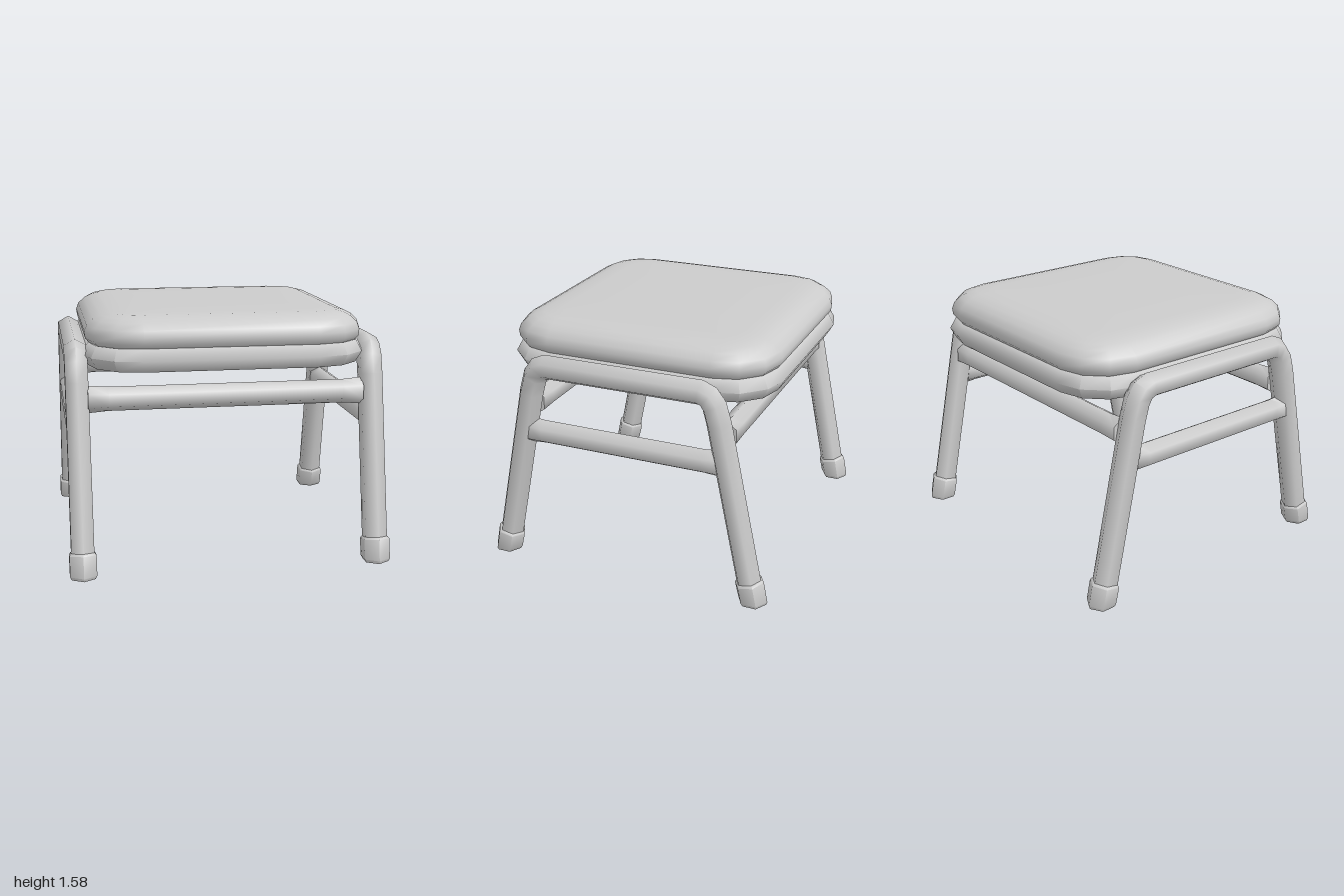
import * as THREE from 'three';
import { toCreasedNormals } from 'three/addons/utils/BufferGeometryUtils.js';

const V = (x, y, z) => new THREE.Vector3(x, y, z);
const X = V(1, 0, 0), Z = V(0, 0, 1);
const material = new THREE.MeshStandardMaterial({ color: 0xcccccc });

// Skin a list of equal-length point rings (counter-clockwise about the travel direction)
function loft(name, rings, capped = true) {
  const n = rings[0].length, pos = [], index = [];
  rings.forEach(r => r.forEach(p => pos.push(p.x, p.y, p.z)));
  for (let i = 0; i < rings.length - 1; i++) {
    for (let j = 0; j < n; j++) {
      const a = i * n + j, b = i * n + (j + 1) % n;
      index.push(a, b, b + n, a, b + n, a + n);
    }
  }
  if (capped) {
    [0, rings.length - 1].forEach((r, end) => {
      const c = V(0, 0, 0);
      rings[r].forEach(p => c.addScaledVector(p, 1 / n));
      const ci = pos.length / 3;
      pos.push(c.x, c.y, c.z);
      for (let j = 0; j < n; j++) {
        const a = r * n + j, b = r * n + (j + 1) % n;
        if (end) index.push(ci, a, b); else index.push(ci, b, a);
      }
    });
  }
  const g = new THREE.BufferGeometry();
  g.setAttribute('position', new THREE.Float32BufferAttribute(pos, 3));
  g.setIndex(index);
  const mesh = new THREE.Mesh(toCreasedNormals(g, 1.1), material);
  mesh.name = name;
  return mesh;
}

// Six-sided tube section; corners point along side x dir
function hex(center, dir, side, r, rSide = r) {
  const up = side.clone().cross(dir).normalize();
  return Array.from({ length: 6 }, (_, k) => {
    const a = k * Math.PI / 3;
    return center.clone().addScaledVector(up, r * Math.cos(a)).addScaledVector(side, rSide * Math.sin(a));
  });
}

// Rounded-square outline at height y, three segments per corner
function outline(half, y) {
  const core = Math.min(0.53, half * 0.8), r = half - core, pts = [];
  for (let q = 0; q < 4; q++) {
    const m = (q + 0.5) * Math.PI / 2;
    const cx = Math.sign(Math.cos(m)) * core, cz = Math.sign(Math.sin(m)) * core;
    for (let k = 0; k <= 3; k++) {
      const a = (q + k / 3) * Math.PI / 2;
      pts.push(V(cx + r * Math.cos(a), y, -(cz + r * Math.sin(a))));
    }
  }
  return pts;
}

export function createModel() {
  const group = new THREE.Group();

  // Padded cushion with a slight crown
  const cushion = [[0.8, 1.37], [0.83, 1.382], [0.855, 1.41], [0.86, 1.45], [0.845, 1.49],
    [0.805, 1.528], [0.76, 1.55], [0.7, 1.565], [0.6, 1.57], [0.3, 1.575]];
  group.add(loft('cushion', cushion.map(([h, y]) => outline(h, y))));

  // Tubular ring under the cushion
  const seatRing = [];
  for (let k = 0; k <= 6; k++) {
    const a = (k % 6) * Math.PI / 3;
    seatRing.push(outline(0.8 + 0.08 * Math.cos(a), 1.315 + 0.08 * Math.sin(a)));
  }
  group.add(loft('seatRing', seatRing, false));

  // Bent side frames: two splayed legs joined across the top, as [y, z]
  const bend = [[0.1, 0.83], [1.15, 0.615], [1.255, 0.585], [1.305, 0.55], [1.325, 0.5]];
  const path = [...bend, ...bend.slice().reverse().map(([y, z]) => [y, -z])];
  for (const s of [1, -1]) {
    const sideName = s > 0 ? 'left' : 'right', x = s * 0.918;
    const pts = path.map(([y, z]) => V(x, y, z));
    group.add(loft(sideName + 'Frame', pts.map((p, i) => {
      const before = pts[Math.max(i - 1, 0)], after = pts[Math.min(i + 1, pts.length - 1)];
      const dir = p.clone().sub(before).normalize().add(after.clone().sub(p).normalize()).normalize();
      return hex(p, dir, X, 0.08);
    })));

    // Foot caps, flat on the floor and square to the leg at the top
    for (const f of [1, -1]) {
      const up = V(0, 1, 0), lean = V(0, 1, -0.2 * f);
      group.add(loft(sideName + (f > 0 ? 'Front' : 'Back') + 'Foot', [
        hex(V(x, 0, f * 0.853), up, X, 0.083),
        hex(V(x, 0.02, f * 0.85), up, X, 0.094),
        hex(V(x, 0.133, f * 0.826), lean, X, 0.094),
        hex(V(x, 0.147, f * 0.823), lean, X, 0.084),
      ]));
    }

    // Side rail with flared, slanted ends
    group.add(loft(sideName + 'Rail', [
      hex(V(x, 0.893, -0.62), V(0, -0.17, 1), X, 0.086, 0.07),
      hex(V(x, 0.893, -0.53), Z, X, 0.077),
      hex(V(x, 0.893, 0.53), Z, X, 0.077),
      hex(V(x, 0.893, 0.62), V(0, 0.17, 1), X, 0.086, 0.07),
    ]));

    // Front and back cross rails with flared ends
    const cross = [[-0.855, 0.085], [-0.73, 0.075], [0.73, 0.075], [0.855, 0.085]];
    group.add(loft(s > 0 ? 'frontRail' : 'backRail',
      cross.map(([cx, r]) => hex(V(cx, 1.052, s * 0.635), X, Z, r, 0.075))));
  }
  return group;
}
